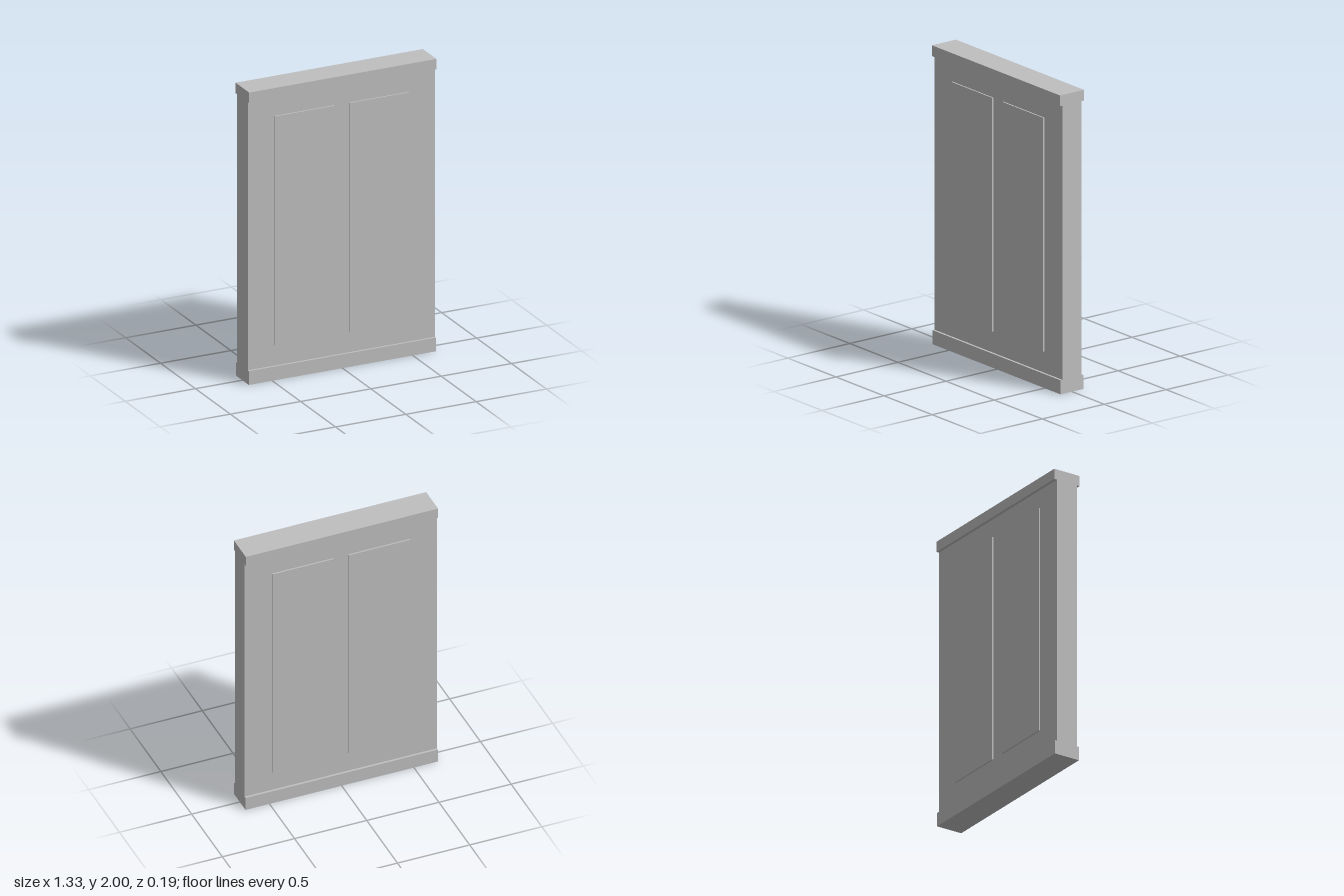
import * as THREE from 'three';

export function createModel() {
  const group = new THREE.Group();
  const stone = new THREE.MeshStandardMaterial({ color: 0xbfbfbf });
  stone.name = 'lightGrey';

  // Box given by its x, y and z ranges
  function slab(name, [x0, x1], [y0, y1], [z0, z1]) {
    const mesh = new THREE.Mesh(new THREE.BoxGeometry(x1 - x0, y1 - y0, z1 - z0), stone);
    mesh.position.set((x0 + x1) / 2, (y0 + y1) / 2, (z0 + z1) / 2);
    mesh.name = name;
    group.add(mesh);
  }

  const width = [-0.666, 0.666];
  const baseTop = 0.094, capBottom = 1.928, bodyHalf = 0.077;

  // Wall with a base board and a slightly deeper cap
  slab('base', width, [0, baseTop], [-0.093, 0.093]);
  slab('wall', width, [baseTop, capBottom], [-bodyHalf, bodyHalf]);
  slab('cap', width, [capBottom, 2], [-0.097, 0.097]);

  // Two raised panels on each face
  for (const [sideName, x] of [['left', [0.053, 0.477]], ['right', [-0.477, -0.053]]]) {
    slab(`${sideName}FrontPanel`, x, [0.236, 1.801], [bodyHalf, 0.087]);
    slab(`${sideName}BackPanel`, x, [0.236, 1.801], [-0.087, -bodyHalf]);
  }
  return group;
}
